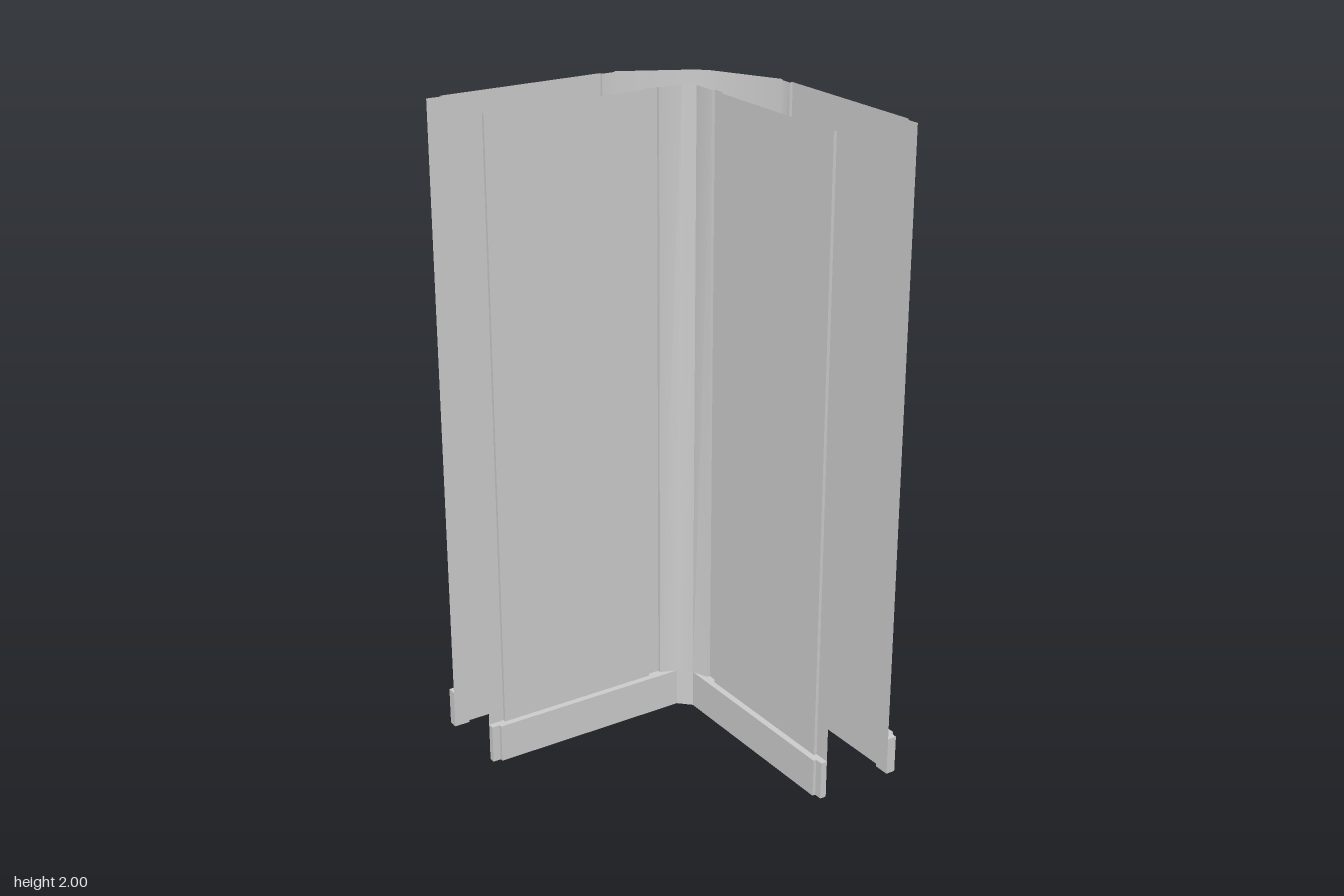
import * as THREE from 'three';
import { toCreasedNormals } from 'three/addons/utils/BufferGeometryUtils.js';

const SKIRT = 0.12, TOP = 2, CREASE = 0.6;
const material = new THREE.MeshStandardMaterial({ color: 0xcccccc, side: THREE.DoubleSide });

// Complete half a plan path [x, z] by reflecting it in the corner diagonal
const mirror = (half) => [...half, ...half.map(([x, z]) => [-z, -x]).reverse()];

// Open upright sheet between a lower and an upper plan path
function sheet(name, low, high, flip) {
  const pos = [];
  for (let i = 0; i < low.length - 1; i++) {
    const a = [low[i][0], SKIRT, low[i][1]];
    const b = [low[i + 1][0], SKIRT, low[i + 1][1]];
    const c = [high[i + 1][0], TOP, high[i + 1][1]];
    const d = [high[i][0], TOP, high[i][1]];
    pos.push(...(flip ? [a, c, b, a, d, c] : [a, b, c, a, c, d]).flat());
  }
  const g = new THREE.BufferGeometry();
  g.setAttribute('position', new THREE.Float32BufferAttribute(pos, 3));
  return named(name, g);
}

// Solid band filling the plan between its face path and its back path
function band(name, face, back) {
  const outline = [...face, ...[...back].reverse()];
  const shape = new THREE.Shape(outline.map(([x, z]) => new THREE.Vector2(x, -z)));
  const g = new THREE.ExtrudeGeometry(shape, { depth: SKIRT, bevelEnabled: false });
  g.rotateX(-Math.PI / 2);
  return named(name, g);
}

function named(name, geometry) {
  const mesh = new THREE.Mesh(toCreasedNormals(geometry, CREASE), material);
  mesh.name = name;
  return mesh;
}

// Straight run of panel with a recess at its end and another beside the corner
const panel = (z, recess) => [
  [-0.5, recess], [-0.45, recess], [-0.45, z], [0.07, z],
  [0.07, recess], [0.112, recess],
];

// Straight run of skirting face with its notched end
const skirtRun = (z, notch) => [[-0.5, notch], [-0.475, notch], [-0.475, z]];

export function createModel() {
  const group = new THREE.Group();
  group.name = 'cornerWall';

  // Outer side: faceted corner, smoothly shaded
  const outer = mirror([...panel(-0.47, -0.46), [0.118, -0.469], [0.328, -0.36]]);
  const outerFace = mirror([...skirtRun(-0.5, -0.49), [0.125, -0.5], [0.337, -0.382]]);
  group.add(sheet('outerWall', outer, outer, true));
  group.add(band('outerSkirting', outerFace, outer));

  // Inner side: the small corner leans back from the skirting edge to the top
  const run = [...panel(-0.22, -0.23), [0.112, -0.22]];
  const innerLow = mirror([...run, [0.163, -0.199]]);
  const innerHigh = mirror([...run, [0.19, -0.22]]);
  const innerFace = mirror([...skirtRun(-0.2, -0.21), [0.163, -0.2]]);
  group.add(sheet('innerWall', innerLow, innerHigh, false));
  group.add(band('innerSkirting', innerFace, innerHigh));

  return group;
}
